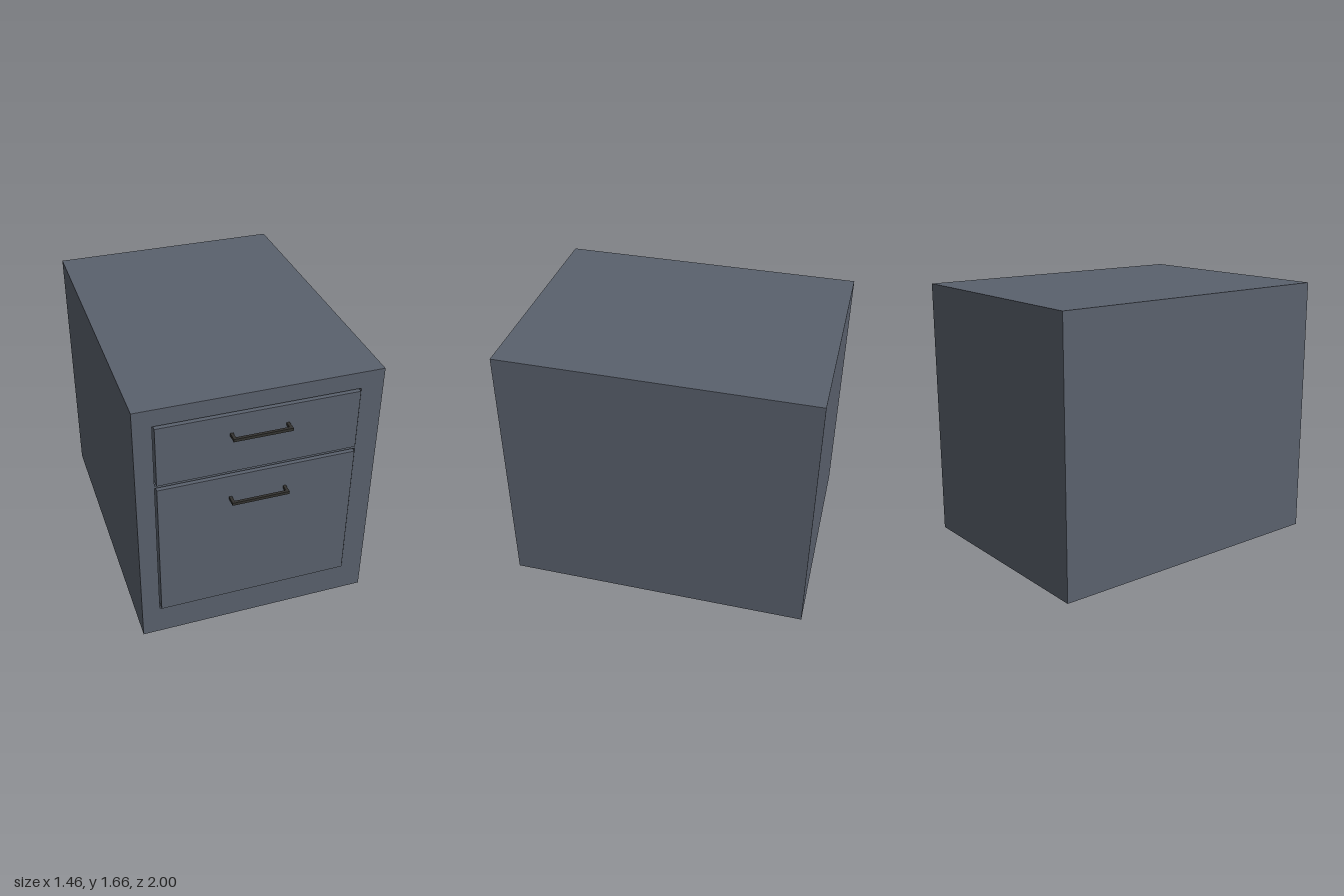
import * as THREE from 'three';

const W = 1.46, H = 1.664, BACK = -1, FACE = 0.923;
const DRAWER_FACE = 0.938, RECESS = 0.1, GAP = 0.009, BAR = 0.018;

const drawers = [
  { name: 'upperDrawer', x0: -0.62, x1: 0.594, y0: 1.155, y1: 1.558, handleY: 1.422 },
  { name: 'lowerDrawer', x0: -0.62, x1: 0.594, y0: 0.194, y1: 1.14, handleY: 0.973 },
];

const paint = new THREE.MeshStandardMaterial({ color: 0x5a616d });
const paintInside = new THREE.MeshStandardMaterial({ color: 0x5a616d, side: THREE.BackSide });
const metal = new THREE.MeshStandardMaterial({ color: 0x33322f });

// Box given by its two extreme corners
function boxBetween(x0, y0, z0, x1, y1, z1) {
  return new THREE.BoxGeometry(x1 - x0, y1 - y0, z1 - z0)
    .translate((x0 + x1) / 2, (y0 + y1) / 2, (z0 + z1) / 2);
}

// Drops the +z face of a box (indices 24 to 29)
function openFront(geometry) {
  const index = Array.from(geometry.index.array);
  index.splice(24, 6);
  geometry.setIndex(index);
  geometry.clearGroups();
  return geometry;
}

function rectangle(path, x0, y0, x1, y1) {
  path.moveTo(x0, y0).lineTo(x1, y0).lineTo(x1, y1).lineTo(x0, y1).closePath();
  return path;
}

function add(parent, name, geometry, material) {
  const mesh = new THREE.Mesh(geometry, material);
  mesh.name = name;
  parent.add(mesh);
}

// Square-section pull: two posts and a cross bar
function createHandle(y) {
  const handle = new THREE.Group();
  handle.name = 'handle';
  const x0 = -0.187, x1 = 0.162, h = BAR / 2;
  add(handle, 'handleBar', boxBetween(x0, y - h, 1 - BAR, x1, y + h, 1), metal);
  for (const x of [x0, x1 - BAR]) {
    add(handle, 'handlePost', boxBetween(x, y - h, DRAWER_FACE, x + BAR, y + h, 1 - BAR), metal);
  }
  return handle;
}

export function createModel() {
  const cabinet = new THREE.Group();
  cabinet.name = 'filingCabinet';

  // Outer shell, closed at the front by a face frame with drawer openings
  add(cabinet, 'cabinetShell', openFront(boxBetween(-W / 2, 0, BACK, W / 2, H, FACE)), paint);
  const frame = rectangle(new THREE.Shape(), -W / 2, 0, W / 2, H);
  for (const d of drawers) frame.holes.push(rectangle(new THREE.Path(), d.x0, d.y0, d.x1, d.y1));
  add(cabinet, 'faceFrame', new THREE.ShapeGeometry(frame).translate(0, 0, FACE), paint);

  for (const d of drawers) {
    // Recess walls, seen through the narrow gap round the drawer
    add(cabinet, 'drawerRecess',
      openFront(boxBetween(d.x0, d.y0, FACE - RECESS, d.x1, d.y1, FACE)), paintInside);

    // Drawer front standing slightly proud of the frame, with its pull
    const drawer = new THREE.Group();
    drawer.name = d.name;
    add(drawer, 'drawerFront', boxBetween(d.x0 + GAP, d.y0 + GAP, FACE - RECESS + 0.002,
      d.x1 - GAP, d.y1 - GAP, DRAWER_FACE), paint);
    drawer.add(createHandle(d.handleY));
    cabinet.add(drawer);
  }
  return cabinet;
}
